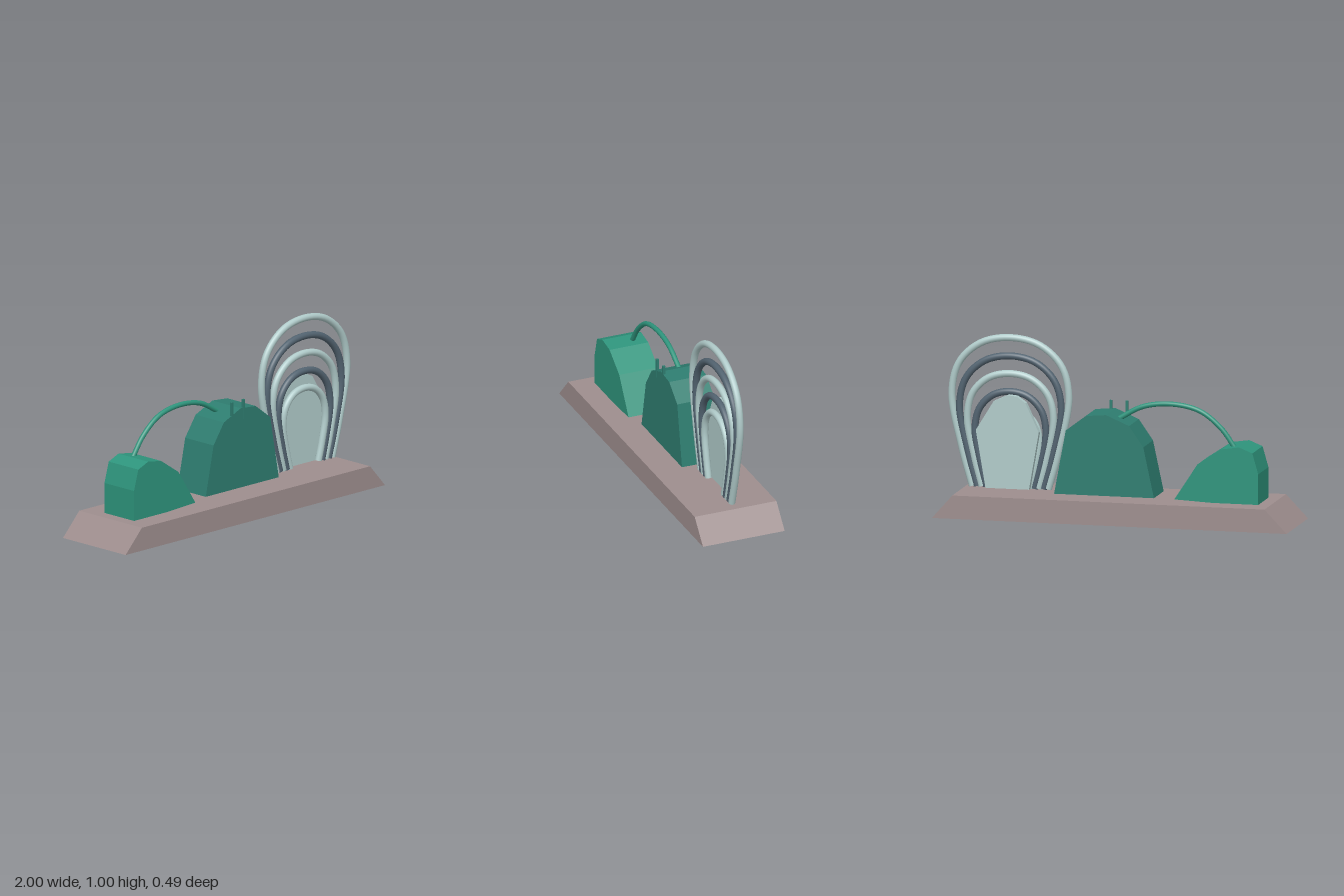
import * as THREE from 'three';

const mat = (name, color) => {
  const m = new THREE.MeshStandardMaterial({ color });
  m.name = name;
  return m;
};

export function createModel() {
  const group = new THREE.Group();
  const mauve = mat('mauve', 0x9e8e8e);
  const green = mat('green', 0x2e947c);
  const teal = mat('teal', 0x2e7d70);
  const pale = mat('pale blue', 0xb0cbca);
  const slate = mat('slate', 0x526370);

  const add = (name, geometry, material) => {
    const mesh = new THREE.Mesh(geometry, material);
    mesh.name = name;
    group.add(mesh);
    return mesh;
  };

  // Flat-sided slab: an xy outline stretched from z0 to z1
  const slab = (name, points, z0, z1, material) => {
    const shape = new THREE.Shape(points.map(([x, y]) => new THREE.Vector2(x, y)));
    const geometry = new THREE.ExtrudeGeometry(shape, { depth: z1 - z0, bevelEnabled: false });
    add(name, geometry.translate(0, 0, z0), material);
  };

  // Round rod along a smooth curve, with capped ends
  const rod = (name, points, z, radius, material, segments) => {
    const curve = new THREE.CatmullRomCurve3(points.map(([x, y]) => new THREE.Vector3(x, y, z)));
    add(name, new THREE.TubeGeometry(curve, segments, radius, 12), material);
    for (const t of [0, 1]) {
      const cap = add(name + 'Cap', new THREE.CircleGeometry(radius, 12), material);
      cap.position.copy(curve.getPointAt(t));
      const out = curve.getTangentAt(t).multiplyScalar(t ? 1 : -1);
      cap.quaternion.setFromUnitVectors(new THREE.Vector3(0, 0, 1), out);
    }
  };

  // Base with sloping ends
  slab('base', [[-1, 0], [1, 0], [0.885, 0.13], [-0.875, 0.13]], -0.243, 0.243, mauve);

  // Head and body blocks
  slab('head', [[-0.808, 0.13], [-0.55, 0.13], [-0.335, 0.14], [-0.465, 0.34], [-0.6, 0.43],
    [-0.7, 0.445], [-0.775, 0.415], [-0.808, 0.3]], -0.115, 0.115, green);
  slab('body', [[-0.225, 0.145], [0.338, 0.145], [0.272, 0.5], [0.16, 0.585], [0.045, 0.595],
    [-0.085, 0.54], [-0.165, 0.425]], -0.135, 0.085, teal);

  // Arched neck
  rod('neck', [[-0.665, 0.42], [-0.58, 0.535], [-0.46, 0.625], [-0.3, 0.656], [-0.14, 0.635],
    [0.0, 0.56]], -0.045, 0.014, green, 48);

  // Pegs on the front of the body
  for (const x of [-0.02, 0.07]) {
    add('peg', new THREE.BoxGeometry(0.014, 0.11, 0.014), teal).position.set(x, 0.585, 0.079);
  }

  // Tail plate
  slab('tailPlate', [[0.5, 0.145], [0.745, 0.145], [0.8, 0.465], [0.7, 0.628], [0.62, 0.665],
    [0.57, 0.66], [0.52, 0.625], [0.445, 0.465]], -0.053, -0.018, pale);

  // Nested tail loops: top, half width, height of widest point, half width at the foot
  const loops = [
    [0.977, 0.33, 0.66, 0.215], [0.875, 0.287, 0.59, 0.188], [0.777, 0.243, 0.53, 0.162],
    [0.677, 0.2, 0.46, 0.136], [0.58, 0.163, 0.4, 0.11],
  ];
  loops.forEach(([top, w, mid, foot], i) => {
    const half = [[foot, 0.145], [foot + (w - foot) * 0.52, 0.145 + (mid - 0.145) * 0.42], [w, mid],
      [w * 0.87, mid + (top - mid) * 0.54], [w * 0.5, mid + (top - mid) * 0.89]];
    const points = [
      ...half.map(([x, y]) => [0.618 - x, y]),
      [0.618, top],
      ...half.map(([x, y]) => [0.618 + x, y]).reverse(),
    ];
    rod('tailLoop', points, 0, 0.0195, i % 2 ? slate : pale, 72);
  });

  return group;
}
